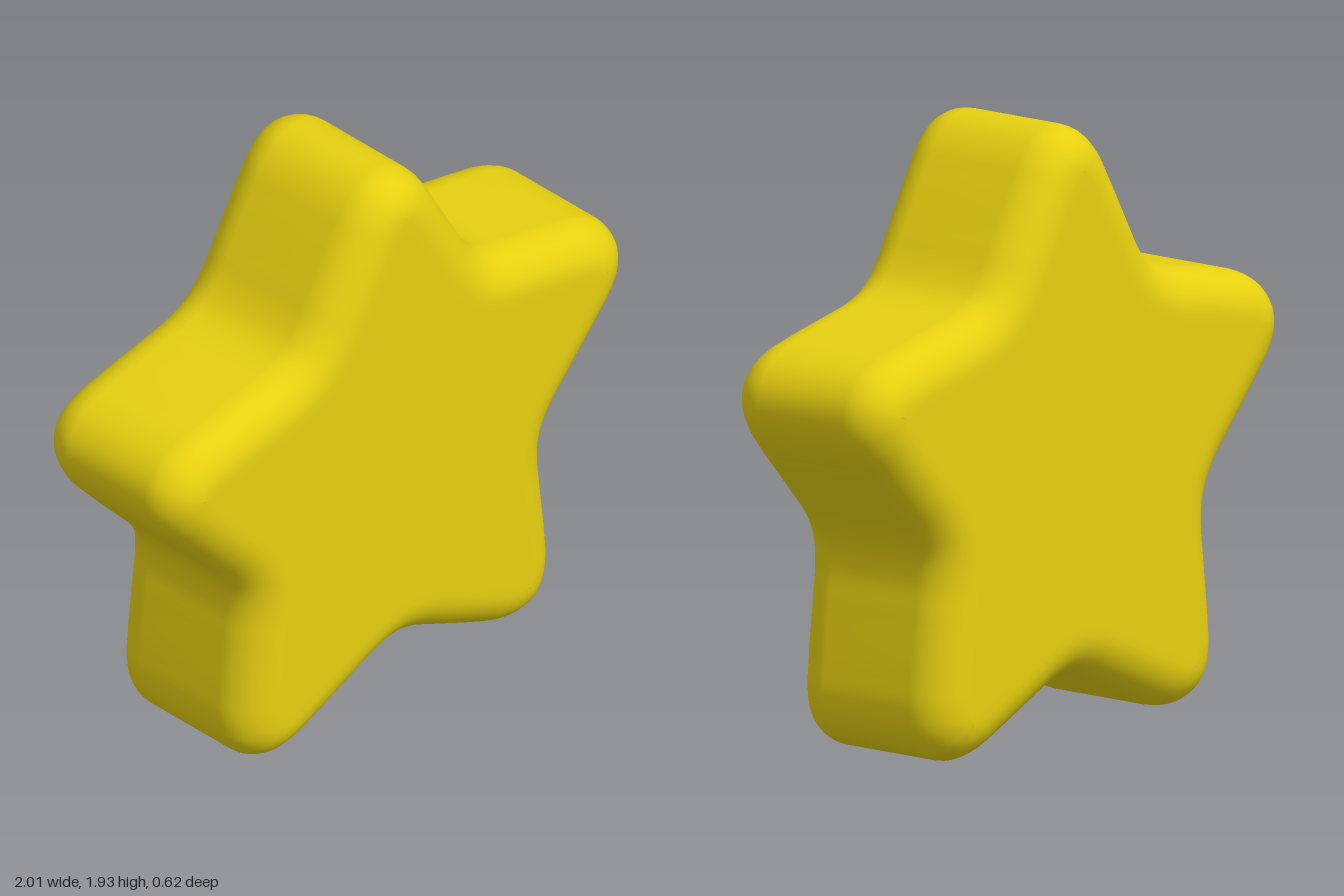
import * as THREE from 'three';

const CENTER_Y = 0.87, HALF_DEPTH = 0.31, EDGE = 0.14;

// Rounded five-armed outline, clockwise from the top tip
function starOutline() {
  // half an arm, from tip to just before the notch; the notch point closes it
  const half = [[0, 1.05], [0.08, 1.028], [0.145, 0.97], [0.2, 0.885], [0.3, 0.71], [0.35, 0.625]];
  const notch = [0.408, 0.562];
  const arm = [...half.slice(1).reverse().map(([x, y]) => [-x, y]), ...half, notch];
  const points = [];
  for (let k = 0; k < 5; k++) {
    const a = k * Math.PI * 2 / 5, c = Math.cos(a), s = Math.sin(a);
    for (const [x, y] of arm) points.push(new THREE.Vector3(x * c + y * s, y * c - x * s, 0));
  }
  return new THREE.CatmullRomCurve3(points, true, 'centripetal');
}

// Cross-section from front centre to back centre: scale, inset and depth of each ring
function ringProfile() {
  const front = [[0, EDGE, HALF_DEPTH], [0.5, EDGE, HALF_DEPTH], [0.94, EDGE, HALF_DEPTH]];
  const steps = 10;
  for (let i = 0; i <= steps; i++) {
    const t = i / steps * Math.PI / 2;
    front.push([1, EDGE * (1 - Math.sin(t)), HALF_DEPTH - EDGE * (1 - Math.cos(t))]);
  }
  const back = front.map(([s, d, z]) => [s, d, -z]).reverse();
  return [...front, [1, 0, 0], ...back];
}

function starGeometry() {
  const curve = starOutline(), count = 300;
  const outline = [];
  for (let i = 0; i < count; i++) {
    const p = curve.getPointAt(i / count), t = curve.getTangentAt(i / count);
    outline.push({ p, nx: -t.y, ny: t.x });
  }
  const rings = ringProfile(), positions = [], indices = [];
  rings.forEach(([scale, inset, z], j) => {
    outline.forEach(({ p, nx, ny }, i) => {
      positions.push((p.x - nx * inset) * scale, (p.y - ny * inset) * scale, z);
      if (j === rings.length - 1) return;
      const next = (i + 1) % count;
      const a = j * count + i, b = j * count + next, c = a + count, d = b + count;
      indices.push(a, b, c, b, d, c);
    });
  });
  const geometry = new THREE.BufferGeometry();
  geometry.setAttribute('position', new THREE.Float32BufferAttribute(positions, 3));
  geometry.setIndex(indices);
  geometry.computeVertexNormals();
  return geometry;
}

export function createModel() {
  const group = new THREE.Group();
  group.name = 'roundedStar';
  // Thick star with soft rolled edges
  const star = new THREE.Mesh(starGeometry(), new THREE.MeshStandardMaterial({ color: 0xe6d010 }));
  star.name = 'starBody';
  star.position.y = CENTER_Y;
  group.add(star);
  return group;
}
